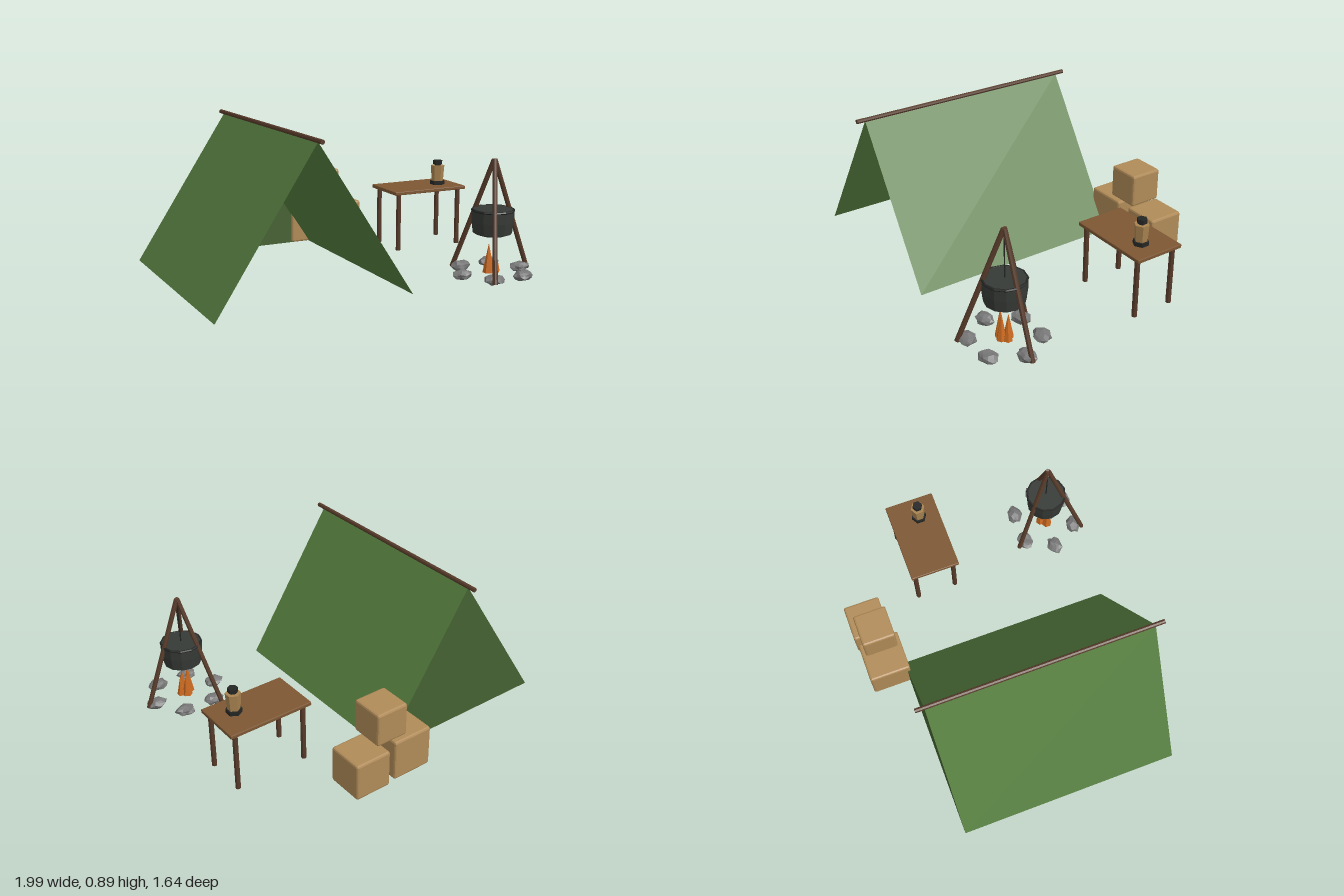
import * as THREE from 'three';
import { RoundedBoxGeometry } from 'three/addons/geometries/RoundedBoxGeometry.js';

export function createModel() {
  const root = new THREE.Group();
  root.name = 'campsite';

  const mat = (name, color, extra = {}) => {
    const m = new THREE.MeshStandardMaterial({ color, flatShading: true, ...extra });
    m.name = name;
    return m;
  };
  const canvas = mat('tent green', 0x557d3f, { side: THREE.DoubleSide });
  const backCanvas = mat('dark tent green', 0x456132, { side: THREE.DoubleSide });
  const pole = mat('dark wood', 0x573b2a);
  const tableWood = mat('table wood', 0x7d5733);
  const crateWood = mat('crate tan', 0xb08b58);
  const iron = mat('pot iron', 0x363a36);
  const black = mat('black metal', 0x242624);
  const flame = mat('flame orange', 0xcc6a20);
  const stone = mat('stone grey', 0x777777);
  const lampGlass = mat('lantern tan', 0xa88350);

  const add = (parent, name, geo, material, x = 0, y = 0, z = 0) => {
    const m = new THREE.Mesh(geo, material);
    m.name = name;
    m.position.set(x, y, z);
    parent.add(m);
    return m;
  };
  const group = (name, x = 0, y = 0, z = 0) => {
    const g = new THREE.Group();
    g.name = name;
    g.position.set(x, y, z);
    root.add(g);
    return g;
  };
  // Straight round bar between two points
  const bar = (parent, name, a, b, r, sides, material) => {
    const from = new THREE.Vector3(...a), to = new THREE.Vector3(...b);
    const dir = to.clone().sub(from);
    const m = add(parent, name, new THREE.CylinderGeometry(r, r, dir.length(), sides), material);
    m.position.copy(from).add(to).multiplyScalar(0.5);
    m.quaternion.setFromUnitVectors(new THREE.Vector3(0, 1, 0), dir.normalize());
    return m;
  };
  // Flat sheet from a fan of corners
  const sheet = (corners) => {
    const pts = [];
    for (let i = 1; i < corners.length - 1; i++) pts.push(...corners[0], ...corners[i], ...corners[i + 1]);
    const g = new THREE.BufferGeometry();
    g.setAttribute('position', new THREE.Float32BufferAttribute(pts, 3));
    g.computeVertexNormals();
    return g;
  };

  // Tent: two sloping sheets, closed back, open front, no floor
  const tent = group('tent');
  const ridge = -0.44, base = 0.015, top = 0.873, zb = -0.585, zf = 0.738;
  add(tent, 'leftSlope', sheet([[0.12, base, zf], [0.12, base, zb], [ridge, top, zb], [ridge, top, zf]]), canvas);
  add(tent, 'rightSlope', sheet([[-1, base, zb], [-1, base, zf], [ridge, top, zf], [ridge, top, zb]]), canvas);
  add(tent, 'backPanel', sheet([[0.12, base, zb], [-1, base, zb], [ridge, top, zb]]), backCanvas);
  bar(tent, 'ridgePole', [ridge, 0.879, -0.637], [ridge, 0.879, 0.79], 0.013, 8, pole);

  // Stacked crates: size, centre x, bottom y, centre z
  const crates = group('crates');
  for (const [s, x, y, z] of [[0.247, 0.122, 0.017, -0.69], [0.222, 0.4, 0.017, -0.715], [0.198, 0.247, 0.269, -0.688]]) {
    add(crates, 'crate', new RoundedBoxGeometry(s, s, s, 1, 0.012), crateWood, x, y + s / 2, z);
  }

  // Table
  const table = group('table', 0.732, 0, -0.23);
  add(table, 'tableTop', new RoundedBoxGeometry(0.508, 0.022, 0.302, 1, 0.004), tableWood, 0, 0.379, 0);
  for (const sx of [-1, 1]) for (const sz of [-1, 1]) {
    add(table, 'tableLeg', new THREE.CylinderGeometry(0.015, 0.015, 0.355, 8), pole, sx * 0.215, 0.192, sz * 0.122);
  }

  // Hexagonal lantern
  const lantern = group('lantern', 0.857, 0, -0.205);
  add(lantern, 'lanternBase', new THREE.CylinderGeometry(0.045, 0.046, 0.024, 6), black, 0, 0.401, 0);
  add(lantern, 'lanternBody', new THREE.CylinderGeometry(0.043, 0.036, 0.1, 6), lampGlass, 0, 0.462, 0);
  add(lantern, 'lanternNeck', new THREE.CylinderGeometry(0.02, 0.02, 0.012, 6), black, 0, 0.516, 0);
  add(lantern, 'lanternCap', new THREE.CylinderGeometry(0.029, 0.029, 0.025, 6), black, 0, 0.532, 0);

  // Cooking tripod
  const fireplace = group('fireplace', 0.73, 0, 0.585);
  for (let i = 0; i < 3; i++) {
    const a = i * Math.PI * 2 / 3, r = 0.25;
    bar(fireplace, 'tripodLeg', [r * Math.cos(a), 0.02, r * Math.sin(a)], [0.003 * Math.cos(a), 0.676, 0.003 * Math.sin(a)], 0.014, 8, pole);
  }
  bar(fireplace, 'potHanger', [0, 0.39, 0], [0, 0.66, 0], 0.004, 6, black);

  // Pot with lid and rim
  const profile = [[0, 0.242], [0.08, 0.244], [0.111, 0.256], [0.12, 0.325], [0.122, 0.385], [0.115, 0.394], [0, 0.394]];
  add(fireplace, 'pot', new THREE.LatheGeometry(profile.map(p => new THREE.Vector2(...p)), 12), iron);
  const rim = add(fireplace, 'potRim', new THREE.TorusGeometry(0.117, 0.008, 6, 12), black, 0, 0.388, 0);
  rim.rotation.x = Math.PI / 2;

  // Flames: x, z, radius, height
  for (const [x, z, r, h] of [[-0.028, 0.01, 0.032, 0.172], [0.003, 0.025, 0.028, 0.15], [0.028, 0, 0.026, 0.125],
    [0, -0.022, 0.03, 0.14]]) {
    add(fireplace, 'flame', new THREE.ConeGeometry(r, h, 6), flame, x, 0.027 + h / 2, z);
  }

  // Ring of uneven stones
  for (let i = 0; i < 6; i++) {
    const a = i * Math.PI / 3;
    const g = new THREE.IcosahedronGeometry(1, 1);
    const p = g.attributes.position;
    for (let k = 0; k < p.count; k++) {
      const x = p.getX(k), y = p.getY(k), z = p.getZ(k);
      const s = 0.95 + 0.13 * Math.sin(x * 5.1 + y * 3.7 + z * 4.3 + i * 1.9);
      p.setXYZ(k, x * s * 0.062, y * s * 0.031, z * s * 0.048);
    }
    g.computeVertexNormals();
    const m = add(fireplace, 'stone', g, stone, 0.197 * Math.cos(a), 0.033, 0.193 * Math.sin(a));
    m.rotation.y = [0, 0.3, -0.3, 0, 0.3, -0.2][i];
  }
  return root;
}
